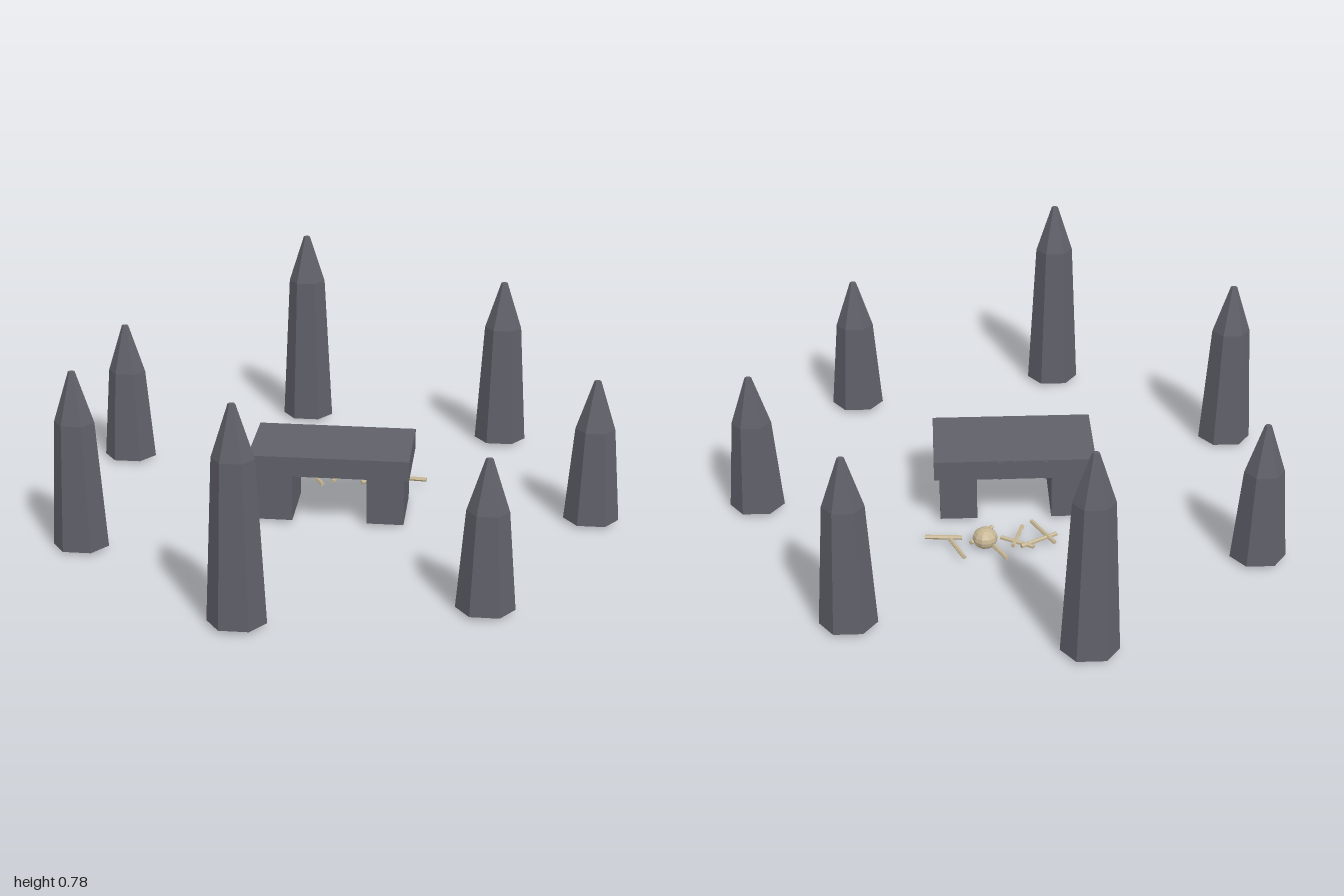
import * as THREE from 'three';

const material = (name, color, flatShading = true) => {
  const m = new THREE.MeshStandardMaterial({ color, flatShading });
  m.name = name;
  return m;
};

export function createModel() {
  const model = new THREE.Group();
  model.name = 'stoneCircle';
  const stone = material('darkStone', 0x60606a);
  const bone = material('bone', 0xc6b694);

  const add = (parent, name, geometry, mat, x, y, z) => {
    const mesh = new THREE.Mesh(geometry, mat);
    mesh.name = name;
    mesh.position.set(x, y, z);
    parent.add(mesh);
    return mesh;
  };
  const group = (name) => {
    const g = new THREE.Group();
    g.name = name;
    model.add(g);
    return g;
  };

  // Ring of standing stones: tapered six-sided shaft with a pointed cap
  const ring = group('standingStones');
  const base = 0.012, capHeight = 0.185;
  const stones = [
    [0.895, 0, 0.55], [0.54, 0.74, 0.55], [-0.26, 0.92, 0.775], [-0.9, 0.41, 0.665],
    [-0.9, -0.41, 0.55], [-0.26, -0.92, 0.775], [0.54, -0.74, 0.665],
  ];
  for (const [x, z, top] of stones) {
    const monolith = new THREE.Group();
    monolith.name = 'standingStone';
    monolith.position.set(x, base, z);
    const shaft = top - base - capHeight;
    const hex = (rTop, rBottom, h, open) =>
      new THREE.CylinderGeometry(rTop, rBottom, h, 6, 1, open, Math.PI / 2).scale(1, 1, 0.78);
    add(monolith, 'shaft', hex(0.071, 0.1, shaft, false), stone, 0, shaft / 2, 0);
    add(monolith, 'cap', hex(0.012, 0.071, capHeight, false), stone, 0, shaft + capHeight / 2, 0);
    ring.add(monolith);
  }

  // Altar: slab on two blocks
  const altar = group('altar');
  add(altar, 'slab', new THREE.BoxGeometry(0.582, 0.075, 0.316), stone, -0.05, 0.235, 0);
  for (const side of [-1, 1]) {
    add(altar, 'supportBlock', new THREE.BoxGeometry(0.135, 0.19, 0.25), stone, -0.05 + side * 0.203, 0.105, 0);
  }
  // Narrow ridges on the back edge of the slab
  for (const x of [-0.16, -0.11, -0.05, 0.005]) {
    add(altar, 'backRidge', new THREE.BoxGeometry(0.012, 0.07, 0.008), stone, x, 0.235, -0.16);
  }

  // Scattered bones, each given by its two ends (x, z)
  const bones = group('bones');
  const ends = [
    [-0.195, -0.255, -0.065, -0.33], [-0.185, -0.315, -0.11, -0.175],
    [-0.11, -0.335, 0.005, -0.27], [-0.035, -0.33, -0.075, -0.205],
    [-0.01, -0.4, 0.045, -0.3], [0.035, -0.205, 0.115, -0.305],
    [0.14, -0.39, 0.19, -0.27], [0.145, -0.27, 0.278, -0.26],
  ];
  const up = new THREE.Vector3(0, 1, 0);
  ends.forEach(([x1, z1, x2, z2], i) => {
    const dir = new THREE.Vector3(x2 - x1, 0, z2 - z1);
    const length = dir.length();
    const mesh = add(bones, 'bone', new THREE.CylinderGeometry(0.008, 0.008, length, 6), bone,
      (x1 + x2) / 2, 0.021 + (i % 2) * 0.003, (z1 + z2) / 2);
    mesh.quaternion.setFromUnitVectors(up, dir.normalize());
  });
  add(bones, 'skull', new THREE.SphereGeometry(0.045, 10, 8).scale(1, 0.85, 1), bone, 0.063, 0.038, -0.295);

  return model;
}
